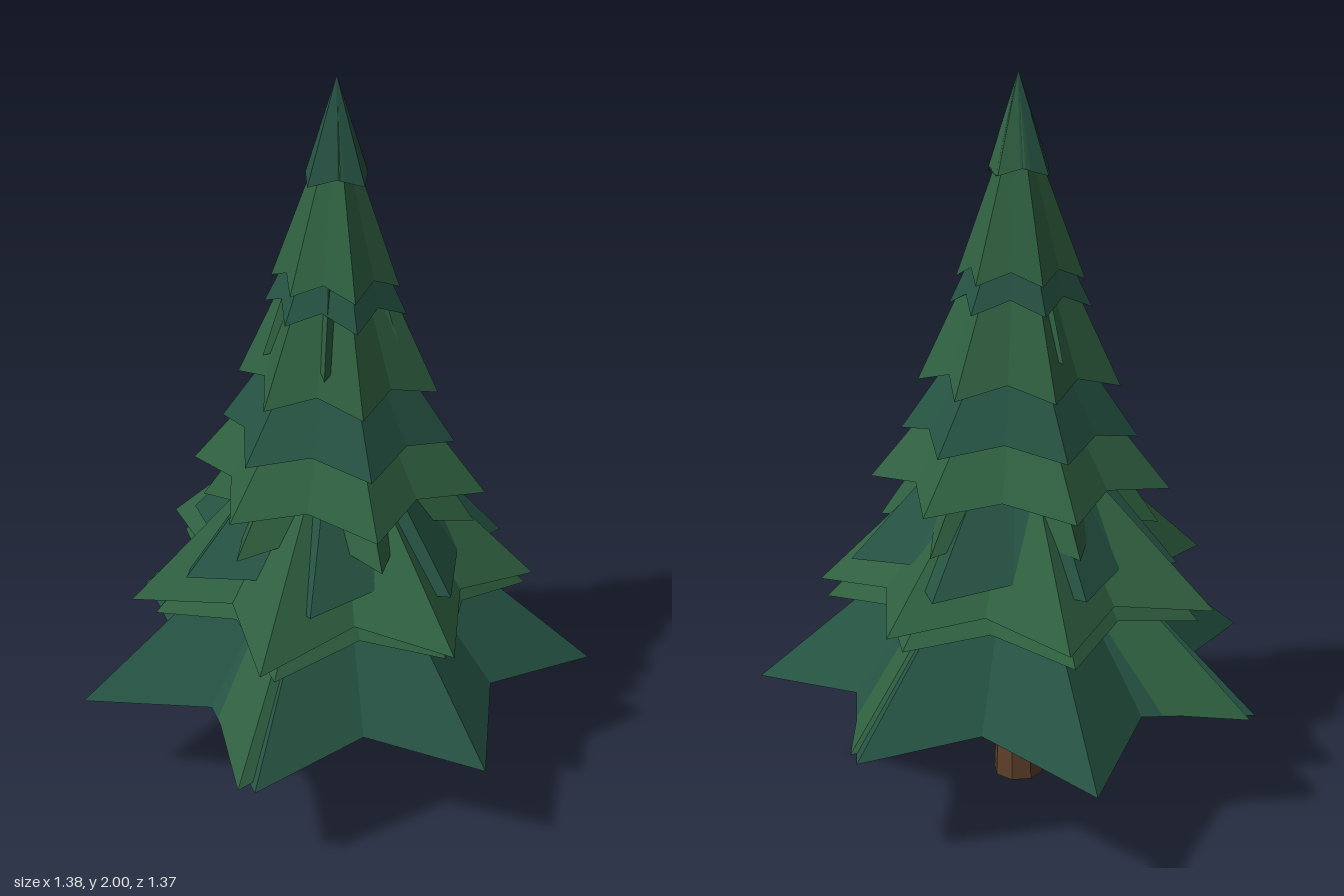
import * as THREE from 'three';

const green = new THREE.MeshStandardMaterial({ color: 0x2f6040, flatShading: true });
green.name = 'leaf green';
const teal = new THREE.MeshStandardMaterial({ color: 0x255242, flatShading: true });
teal.name = 'blue green';
const bark = new THREE.MeshStandardMaterial({ color: 0x5e402b, flatShading: true });
bark.name = 'bark brown';

// Closed star-shaped skirt: sloping faces to an apex, hollow underside
function starSkirt({ n, tips, valley, rim, lift, apex, phase = 0, hollow = 0.1 }) {
  const ring = [];
  for (let i = 0; i < n * 2; i++) {
    const isTip = i % 2 === 0;
    const a = THREE.MathUtils.degToRad(phase) + (i * Math.PI) / n;
    const r = isTip ? tips[(i / 2) % tips.length] : valley;
    ring.push([Math.cos(a) * r, rim + (isTip ? 0 : lift), -Math.sin(a) * r]);
  }
  const pos = [];
  ring.forEach((p, i) => {
    const q = ring[(i + 1) % ring.length];
    pos.push(0, apex, 0, ...p, ...q);
    pos.push(0, rim + hollow, 0, ...q, ...p);
  });
  const geo = new THREE.BufferGeometry();
  geo.setAttribute('position', new THREE.Float32BufferAttribute(pos, 3));
  geo.computeVertexNormals();
  return geo;
}

export function createModel() {
  const tree = new THREE.Group();
  tree.name = 'pineTree';

  // Trunk
  const trunk = new THREE.Mesh(new THREE.CylinderGeometry(0.05, 0.073, 0.6, 8), bark);
  trunk.name = 'trunk';
  trunk.position.y = 0.3;
  trunk.rotation.y = Math.PI / 8;
  tree.add(trunk);

  // Branch skirts from the ground up; twins peek through each other as patches
  const tiers = [
    ['bottomSkirt', teal, { n: 7, tips: [0.69, 0.75, 0.7, 0.76, 0.7, 0.7, 0.74], valley: 0.5, rim: 0.31, lift: 0.045, apex: 0.93, phase: 1.5, hollow: 0.14 }],
    ['bottomSkirtPatch', green, { n: 7, tips: [0.67, 0.66, 0.7, 0.68, 0.71, 0.62, 0.66], valley: 0.47, rim: 0.315, lift: 0.05, apex: 0.94, phase: -2, hollow: 0.15 }],
    ['lowSkirt', green, { n: 7, tips: [0.51, 0.54, 0.53, 0.54, 0.55], valley: 0.4, rim: 0.555, lift: 0.04, apex: 1.12, phase: 2 }],
    ['lowSkirtUpper', green, { n: 7, tips: [0.55, 0.56, 0.58, 0.6, 0.6, 0.57, 0.56], valley: 0.4, rim: 0.6, lift: 0.04, apex: 1.14 }],
    ['lowSkirtPatch', teal, { n: 7, tips: [0.47, 0.44, 0.45], valley: 0.36, rim: 0.69, lift: 0.03, apex: 1.2, phase: 10 }],
    ['middleSpikes', green, { n: 6, tips: [0.4, 0.38, 0.39], valley: 0.25, rim: 0.78, lift: 0.05, apex: 1.35, phase: 3 }],
    ['middleSkirt', green, { n: 6, tips: [0.4, 0.4, 0.42], valley: 0.3, rim: 0.885, lift: 0.035, apex: 1.4 }],
    ['middleSkirtUpper', teal, { n: 6, tips: [0.34, 0.34, 0.33], valley: 0.26, rim: 1.03, lift: 0.035, apex: 1.5 }],
    ['upperSkirt', green, { n: 6, tips: [0.27, 0.26, 0.28], valley: 0.2, rim: 1.17, lift: 0.04, apex: 1.76 }],
    ['upperSpikes', green, { n: 5, tips: [0.2, 0.21], valley: 0.1, rim: 1.26, lift: 0.05, apex: 1.86 }],
    ['upperSkirtBand', teal, { n: 6, tips: [0.2, 0.19], valley: 0.15, rim: 1.385, lift: 0.04, apex: 1.78 }],
    ['crownSkirt', green, { n: 6, tips: [0.18, 0.17], valley: 0.135, rim: 1.46, lift: 0.035, apex: 1.93 }],
    ['treeTop', teal, { n: 4, tips: [0.095, 0.1, 0.105, 0.1], valley: 0.08, rim: 1.735, lift: 0.02, apex: 2, hollow: 0.04 }],
    ['treeTopPatch', green, { n: 4, tips: [0.1, 0.097, 0.08, 0.092], valley: 0.08, rim: 1.737, lift: 0.02, apex: 1.998, phase: 6, hollow: 0.04 }],
  ];
  for (const [name, material, shape] of tiers) {
    const skirt = new THREE.Mesh(starSkirt(shape), material);
    skirt.name = name;
    tree.add(skirt);
  }
  return tree;
}
